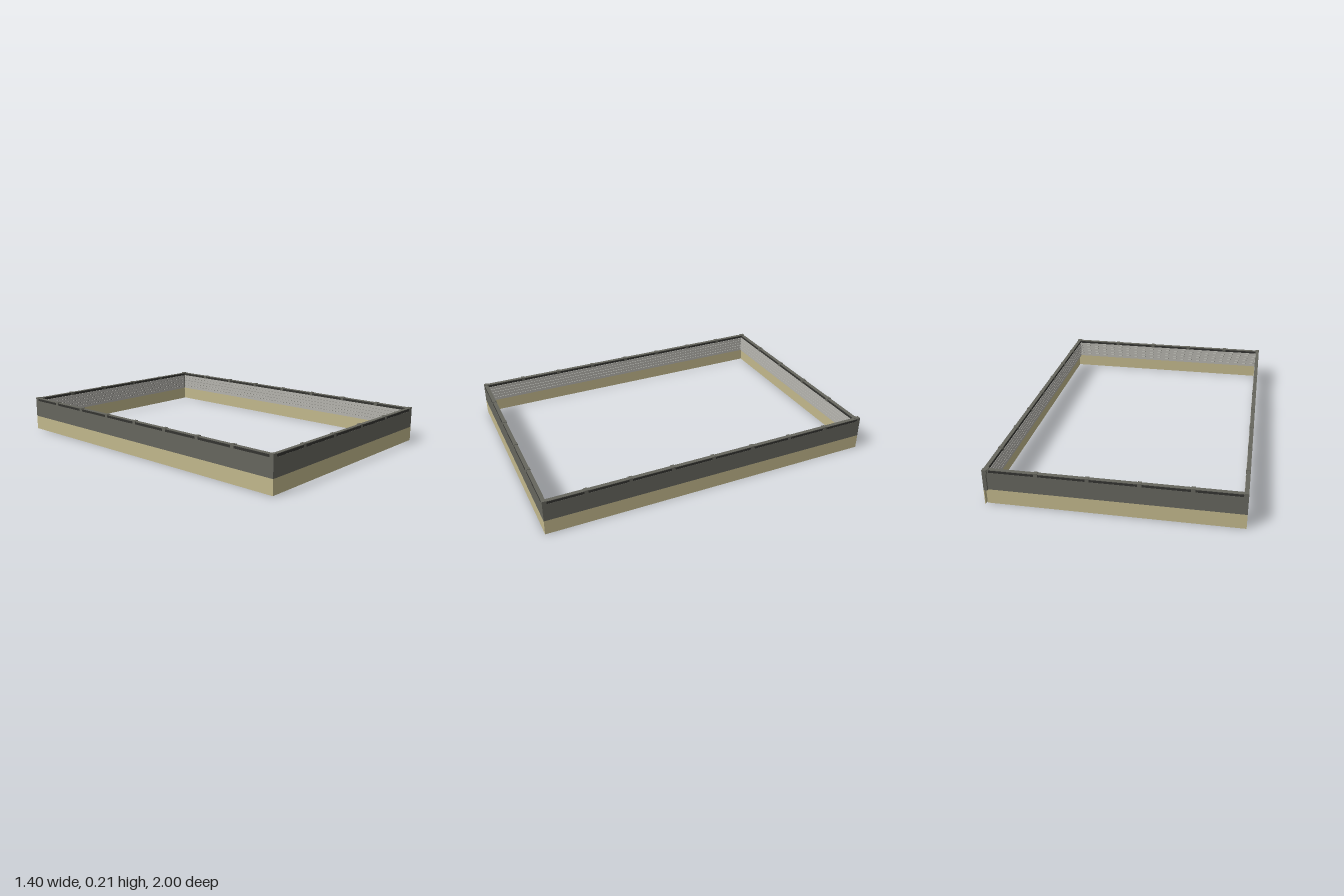
import * as THREE from 'three';

const mat = (name, color) => {
  const m = new THREE.MeshStandardMaterial({ color });
  m.name = name;
  return m;
};

export function createModel() {
  const tan = mat('sand base', 0xc2b88c);
  const grey = mat('olive grey panel', 0x66665e);
  const light = mat('light grey slats', 0xb5b4ae);
  const dark = mat('dark rail', 0x343431);
  const root = new THREE.Group();
  root.name = 'perimeterWall';

  // Box placed by its x centre, and its y and z ranges
  function box(parent, name, m, length, x, y0, y1, z0, z1) {
    const mesh = new THREE.Mesh(new THREE.BoxGeometry(length, y1 - y0, z1 - z0), m);
    mesh.position.set(x, (y0 + y1) / 2, (z0 + z1) / 2);
    mesh.name = name;
    parent.add(mesh);
  }

  // One side: local x runs along it, local +z faces outwards
  function wall(name, length, cx, cz, turn, firstJoint, step, count) {
    const g = new THREE.Group();
    g.name = name;
    box(g, 'base', tan, length, 0, 0, 0.086, -0.004, 0);
    box(g, 'panel', grey, length, 0, 0.086, 0.19, -0.021, 0);

    // Inner horizontal slats with narrow gaps
    const pitch = 0.104 / 5;
    for (let i = 0; i < 5; i++) {
      const y = 0.086 + i * pitch;
      box(g, 'slat', light, length - 0.042, 0, y + 0.001, y + pitch - 0.001, -0.025, -0.021);
    }

    // Top rail and its cap
    box(g, 'rail', dark, length - 0.03, 0, 0.19, 0.204, -0.023, -0.001);
    box(g, 'cap', grey, length - 0.03, 0, 0.204, 0.207, -0.023, -0.001);

    // Joint blocks between the panels and at both ends
    const joints = [-length / 2 + 0.011, length / 2 - 0.011];
    for (let i = 0; i < count; i++) joints.push(firstJoint + i * step);
    for (const x of joints) box(g, 'joint', grey, 0.022, x, 0.188, 0.21, -0.025, 0);

    g.position.set(cx, 0, cz);
    g.rotation.y = turn;
    root.add(g);
  }

  wall('frontWall', 1.4, 0, 1, 0, -0.44, 0.273, 4);
  wall('backWall', 1.39, -0.005, -0.988, Math.PI, -0.415, 0.277, 4);
  wall('leftWall', 2, 0.7, 0, Math.PI / 2, -0.76, 0.25, 7);
  wall('rightWall', 1.988, -0.7, 0.006, -Math.PI / 2, -0.756, 0.248, 7);
  return root;
}
